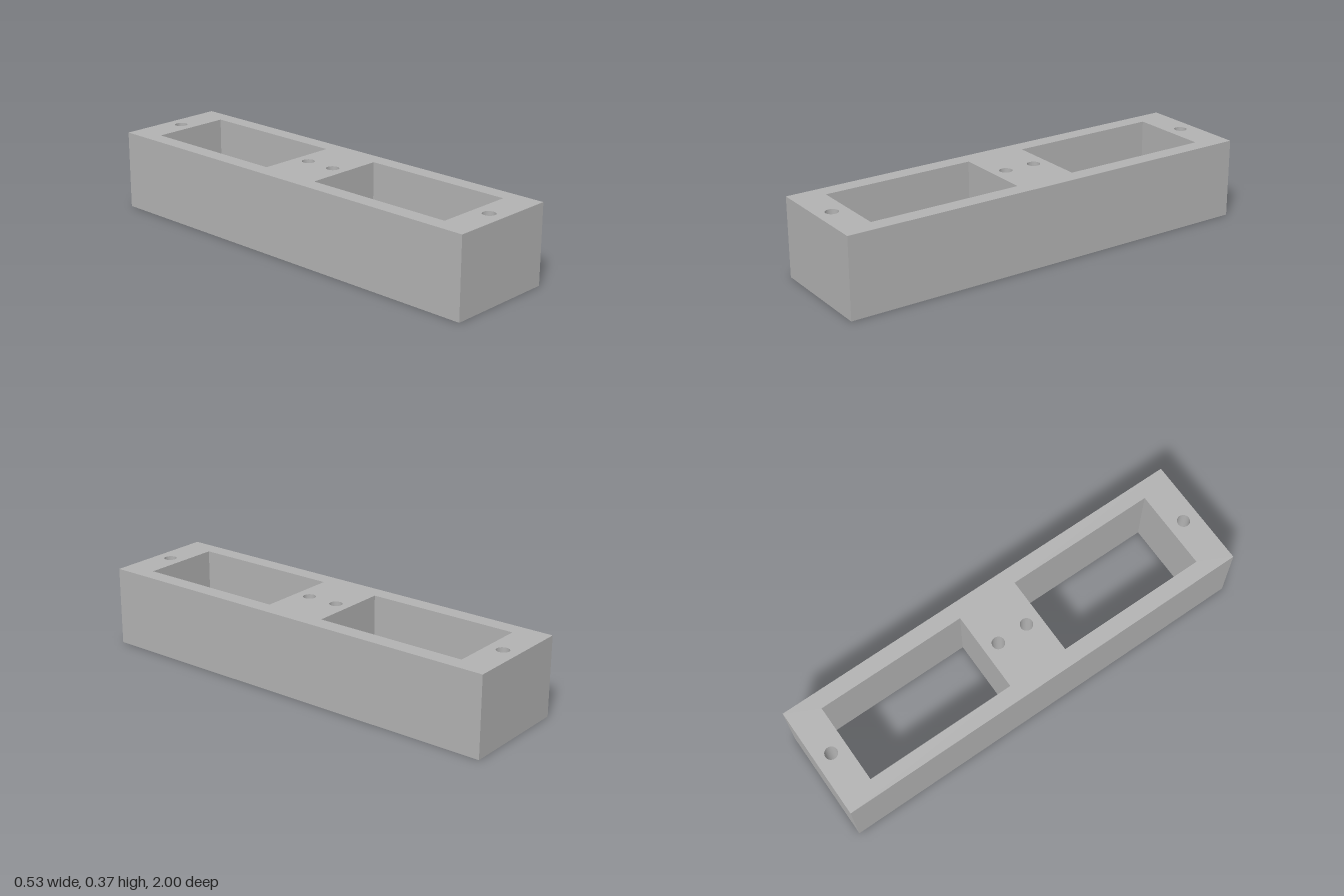
import * as THREE from 'three';

const WIDTH = 0.526, LENGTH = 2, HEIGHT = 0.366;

// Adds a centred rectangle outline to a shape or path
function rectangle(path, width, z0, z1) {
  const h = width / 2;
  path.moveTo(-h, z0);
  path.lineTo(h, z0);
  path.lineTo(h, z1);
  path.lineTo(-h, z1);
  path.closePath();
  return path;
}

export function createModel() {
  const group = new THREE.Group();
  group.name = 'doubleWindowBlock';
  const grey = new THREE.MeshStandardMaterial({ color: 0xb2b2b2 });
  grey.name = 'grey';

  // Plan outline with two windows and four screw holes, mirrored front to back
  const plan = rectangle(new THREE.Shape(), WIDTH, -LENGTH / 2, LENGTH / 2);
  for (const side of [-1, 1]) {
    plan.holes.push(rectangle(new THREE.Path(), 0.377, side * 0.144, side * 0.853));
    for (const z of [0.074, 0.926]) {
      plan.holes.push(new THREE.Path().absarc(0, side * z, 0.029, 0, Math.PI * 2, true));
    }
  }

  // Block raised from the plan, open right through
  const geometry = new THREE.ExtrudeGeometry(plan, { depth: HEIGHT, bevelEnabled: false, curveSegments: 32 });
  geometry.rotateX(-Math.PI / 2);
  const block = new THREE.Mesh(geometry, grey);
  block.name = 'block';
  group.add(block);
  return group;
}
